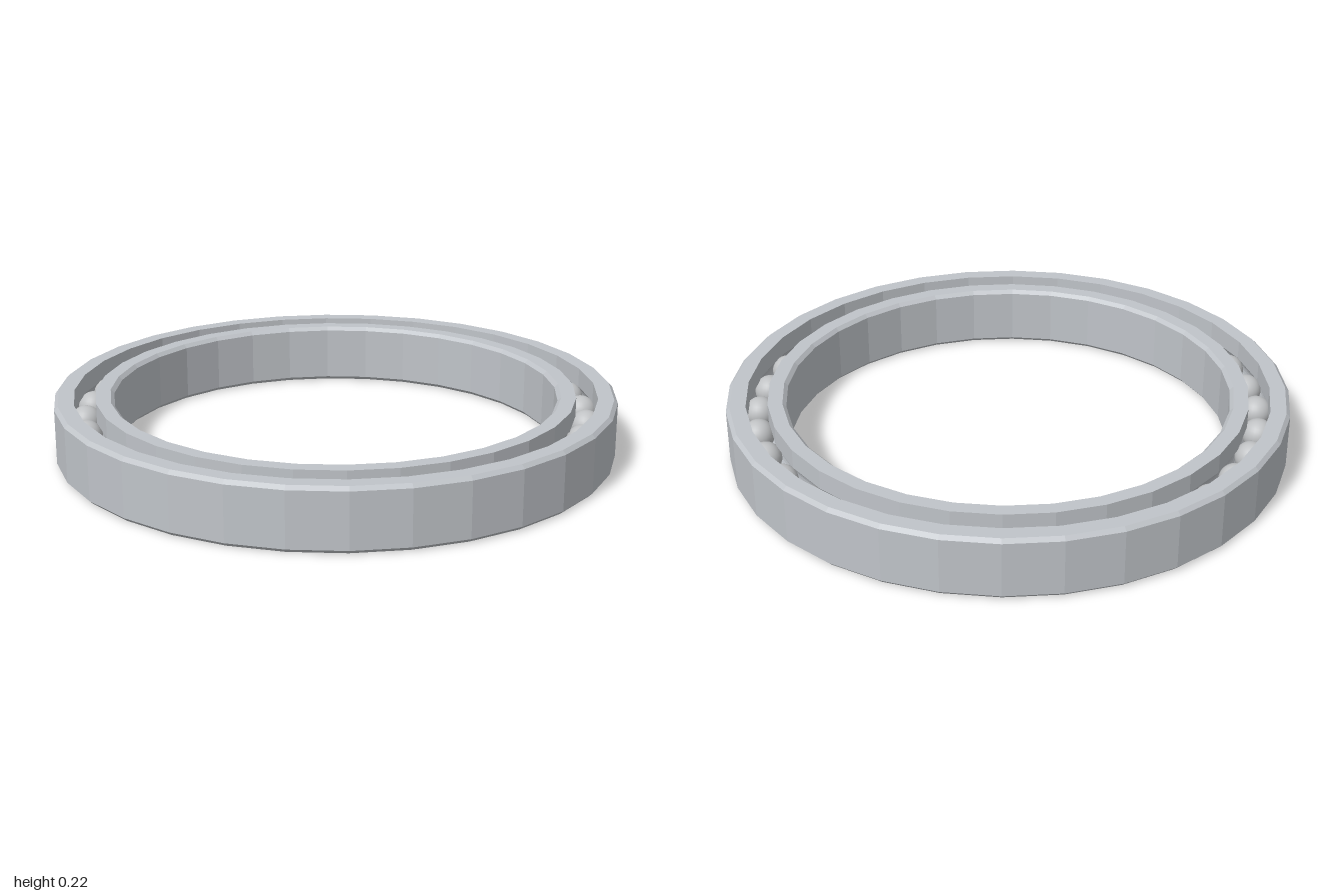
import * as THREE from 'three';

const HEIGHT = 0.22, MID = HEIGHT / 2;
const PITCH = 0.893;      // radius of the ball circle
const BALL = 0.056, GAP = 0.038;
const CHAMFER = 0.013;
const SIDES = 32, BALLS = 34;

// Race profile: chamfered on the plain side, grooved on the side facing the balls.
// dir = 1 makes the outer race, dir = -1 the inner one.
function raceGeometry(plainRadius, dir) {
  const land = PITCH + dir * GAP;
  const p = [
    [land, 0],
    [plainRadius - dir * CHAMFER, 0],
    [plainRadius, CHAMFER],
    [plainRadius, HEIGHT - CHAMFER],
    [plainRadius - dir * CHAMFER, HEIGHT],
    [land, HEIGHT],
  ];
  const half = Math.acos(GAP / BALL), steps = 8;
  for (let i = 0; i <= steps; i++) {
    const a = half * (1 - 2 * i / steps);
    p.push([PITCH + dir * BALL * Math.cos(a), MID + BALL * Math.sin(a)]);
  }
  p.push([land, 0]);
  if (dir < 0) p.reverse(); // keep faces pointing outwards
  const lathe = new THREE.LatheGeometry(p.map(([r, y]) => new THREE.Vector2(r, y)), SIDES);
  const flat = lathe.toNonIndexed();
  flat.computeVertexNormals();
  return flat;
}

export function createModel() {
  const model = new THREE.Group();
  model.name = 'ballBearing';
  const steel = new THREE.MeshStandardMaterial({ color: 0xc0c4c9 });
  steel.name = 'steel';
  const ballSteel = new THREE.MeshStandardMaterial({ color: 0xc0c2c4 });
  ballSteel.name = 'ball steel';

  // Races
  const outerRace = new THREE.Mesh(raceGeometry(1, 1), steel);
  outerRace.name = 'outerRace';
  const innerRace = new THREE.Mesh(raceGeometry(0.79, -1), steel);
  innerRace.name = 'innerRace';
  model.add(outerRace, innerRace);

  // Balls
  const balls = new THREE.Group();
  balls.name = 'balls';
  const ballGeometry = new THREE.SphereGeometry(BALL, 24, 16);
  for (let i = 0; i < BALLS; i++) {
    const a = i / BALLS * Math.PI * 2;
    const ball = new THREE.Mesh(ballGeometry, ballSteel);
    ball.name = 'ball';
    ball.position.set(PITCH * Math.cos(a), MID, PITCH * Math.sin(a));
    balls.add(ball);
  }
  model.add(balls);
  return model;
}
